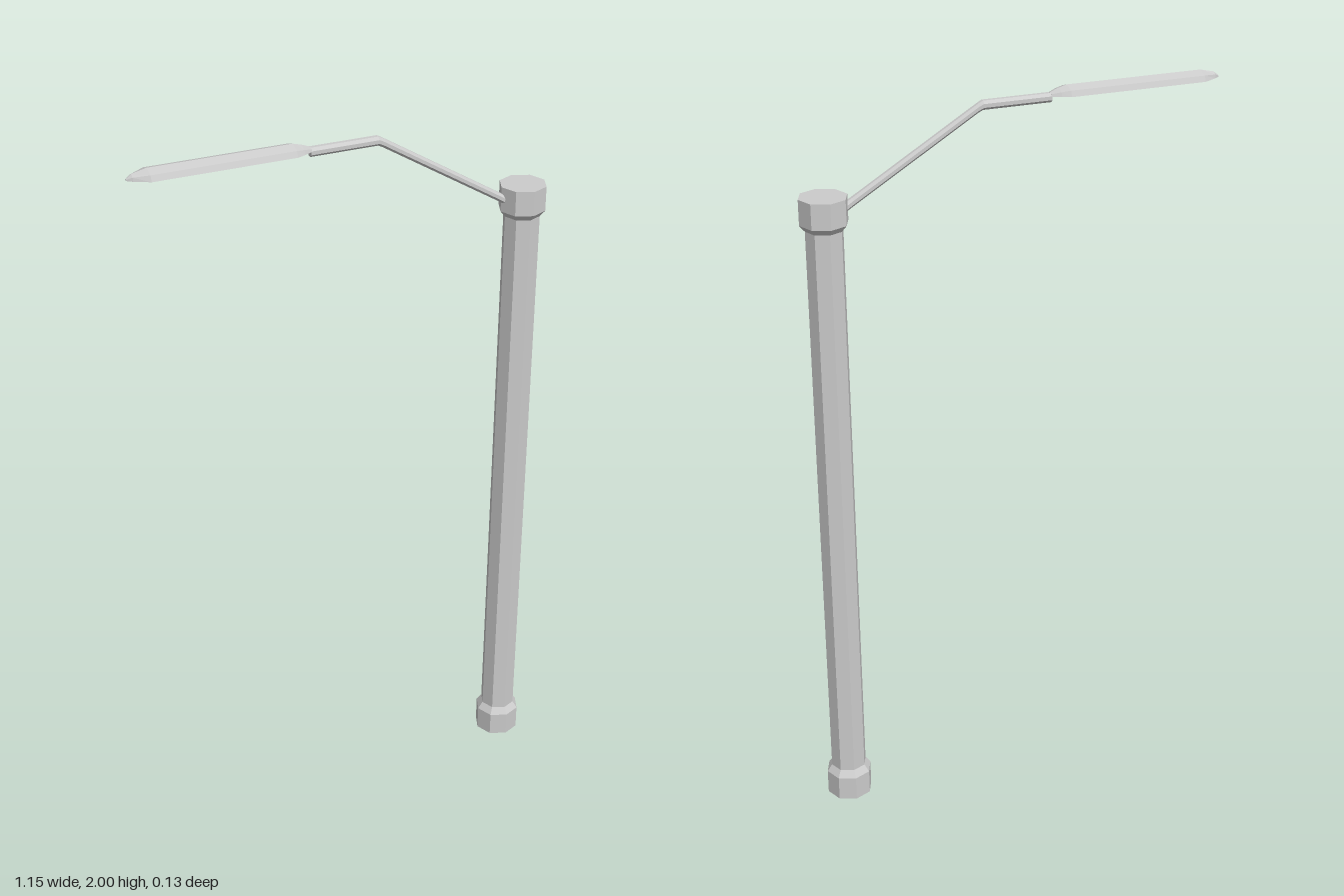
import * as THREE from 'three';

const POLE_X = 0.51;

const material = new THREE.MeshStandardMaterial({
  color: 0xcccccc, flatShading: true, side: THREE.DoubleSide,
});

// Skin a list of closed rings (ordered along +x) and cap both ends
function loft(rings) {
  const n = rings[0].length;
  const points = rings.flat().flat();
  const index = [];
  for (let i = 0; i < rings.length - 1; i++) {
    for (let j = 0; j < n; j++) {
      const a = i * n + j, b = i * n + (j + 1) % n;
      index.push(a, b, b + n, a, b + n, a + n);
    }
  }
  const last = (rings.length - 1) * n;
  for (let j = 1; j < n - 1; j++) {
    index.push(0, j + 1, j, last, last + j, last + j + 1);
  }
  const geometry = new THREE.BufferGeometry();
  geometry.setAttribute('position', new THREE.Float32BufferAttribute(points, 3));
  geometry.setIndex(index);
  geometry.computeVertexNormals();
  return geometry;
}

// Eight-sided ring of the arm, upright in the y-z plane
function armRing([x, y, ry, rz]) {
  return Array.from({ length: 8 }, (_, i) => {
    const a = (i + 0.5) * Math.PI / 4;
    const k = 1 / Math.cos(Math.PI / 8);
    return [x, y + ry * k * Math.sin(a), -rz * k * Math.cos(a)];
  });
}

// Domed section of the lamp head with a flat underside
function headRing([x, halfWidth, top]) {
  const base = 1.976, h = top - base;
  return [[-1, 0], [-0.8, 0.62], [0, 1], [0.8, 0.62], [1, 0]]
    .map(([z, y]) => [x, base + y * h, z * halfWidth]);
}

export function createModel() {
  const model = new THREE.Group();
  const add = (name, geometry) => {
    const mesh = new THREE.Mesh(geometry, material);
    mesh.name = name;
    model.add(mesh);
    return mesh;
  };

  // Octagonal pole with a collar at each end
  const profile = [
    [0.064, 0], [0.064, 0.07], [0.05, 0.09], [0.05, 1.70],
    [0.064, 1.717], [0.064, 1.785], [0, 1.785],
  ].map(([r, y]) => new THREE.Vector2(r, y));
  add('pole', new THREE.LatheGeometry(profile, 8)).position.x = POLE_X;

  // Bent arm: x, y, half height, half width
  add('arm', loft([
    [-0.10, 1.972, 0.012, 0.013],
    [0.085, 1.972, 0.012, 0.013],
    [0.097, 1.966, 0.012, 0.011],
    [0.435, 1.762, 0.012, 0.011],
    [0.46, 1.747, 0.013, 0.014],
  ].map(armRing)));

  // Lamp head: x, half width, top height
  add('lampHead', loft([
    [-0.576, 0.003, 1.981],
    [-0.562, 0.014, 1.991],
    [-0.523, 0.035, 2.0],
    [-0.145, 0.035, 2.0],
    [-0.122, 0.026, 1.994],
    [-0.098, 0.013, 1.985],
  ].map(headRing)));

  return model;
}
